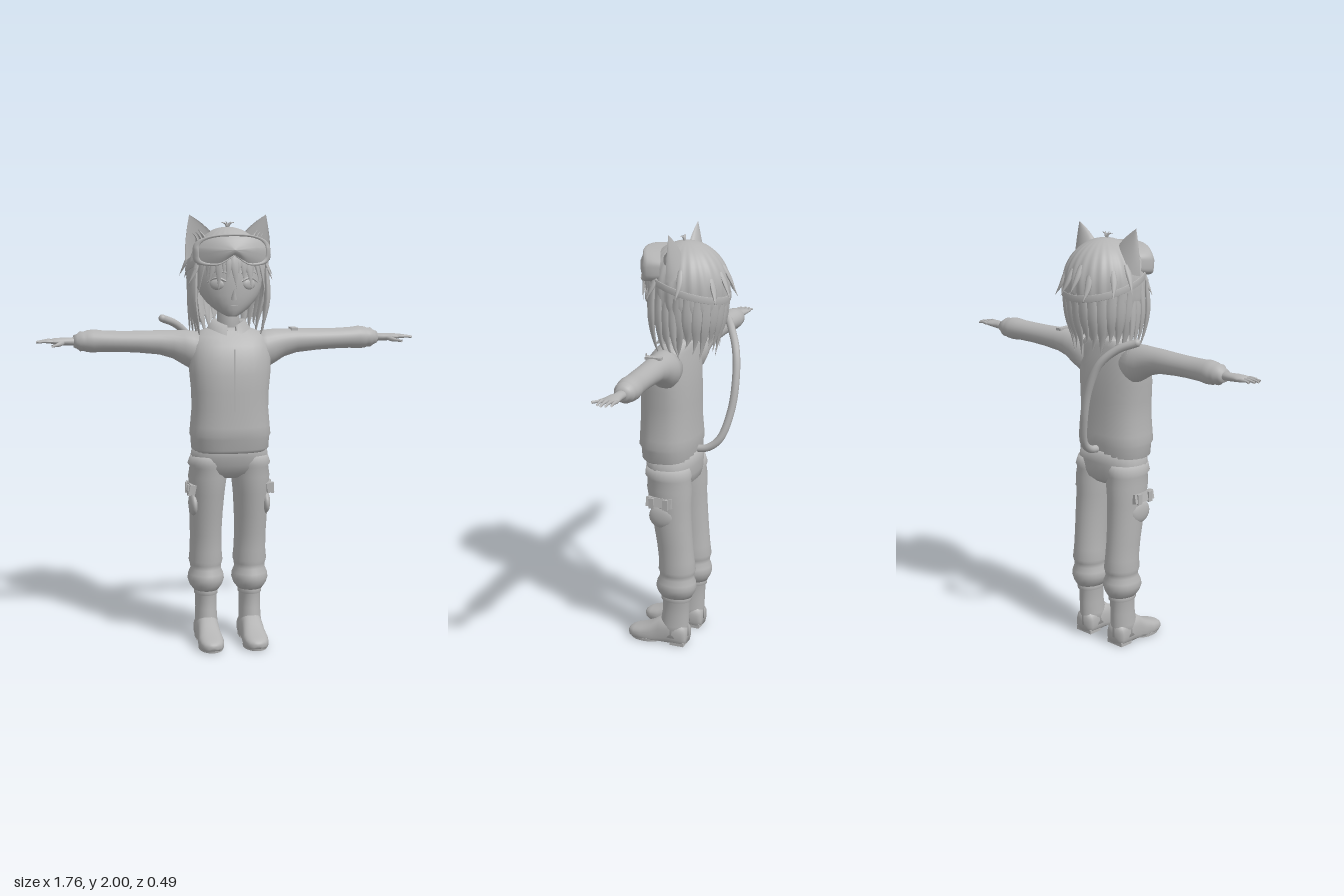
import * as THREE from 'three';

const { sin, cos, abs, sign, PI } = Math;
const grey = new THREE.MeshStandardMaterial({ color: 0xb4b4b4, side: THREE.DoubleSide });
grey.name = 'plain grey';

export function createModel() {
  const root = new THREE.Group();
  root.name = 'catEaredChild';
  const add = (name, geo) => {
    const m = new THREE.Mesh(geo, grey);
    m.name = name;
    root.add(m);
    return m;
  };

  // Surface through rows of points; optional closing in the other direction
  const grid = (rows, closed) => {
    const n = rows[0].length, pos = rows.flat(2), idx = [];
    for (let i = 0; i < rows.length - 1; i++)
      for (let j = 0; j < (closed ? n : n - 1); j++) {
        const k = (j + 1) % n, a = i * n + j, b = i * n + k;
        idx.push(a, b, b + n, a, b + n, a + n);
      }
    const g = new THREE.BufferGeometry();
    g.setAttribute('position', new THREE.Float32BufferAttribute(pos, 3));
    g.setIndex(idx);
    g.computeVertexNormals();
    return g;
  };

  // Closed body along an axis; each row is [t, centreA, centreB, radiusA, radiusB]
  const loft = (axis, rows, power = 2, floor = -1) => {
    const first = rows[0], last = rows[rows.length - 1], seg = 28;
    const all = [[...first.slice(0, 3), 0, 0], ...rows, [...last.slice(0, 3), 0, 0]];
    const rising = last[0] > first[0];
    const dir = (axis === 'y') === rising ? -1 : 1;
    return grid(all.map(([t, ca, cb, ra, rb]) => Array.from({ length: seg }, (_, j) => {
      const th = dir * j / seg * 2 * PI;
      const a = ca + ra * sign(cos(th)) * abs(cos(th)) ** (2 / power);
      const b = cb + rb * sign(sin(th)) * abs(sin(th)) ** (2 / power);
      return axis === 'y' ? [a, t, b] : axis === 'x' ? [t, a, b] : [a, Math.max(b, floor), t];
    })), true);
  };

  // Tapered, flattened lock following a curve
  const strand = (pts, r, flat = 0.4, tip = 0) => {
    const path = new THREE.CatmullRomCurve3(pts.map(p => new THREE.Vector3(...p)));
    const n = 10, sides = 8, g = new THREE.TubeGeometry(path, n, r, sides);
    const p = g.attributes.position, v = new THREE.Vector3();
    for (let i = 0; i <= n; i++) {
      const c = path.getPointAt(i / n), out = new THREE.Vector3(c.x, 0, c.z).normalize();
      const k = Math.max(tip, (1 - (i / n) ** 2) * (0.6 + 0.4 * sin(PI * i / n)));
      for (let j = 0; j <= sides; j++) {
        const q = i * (sides + 1) + j;
        v.fromBufferAttribute(p, q).sub(c).multiplyScalar(k);
        v.addScaledVector(out, (flat - 1) * v.dot(out)).add(c);
        p.setXYZ(q, v.x, v.y, v.z);
      }
    }
    g.computeVertexNormals();
    return g;
  };
  const box = (name, w, h, d, x, y, z) => {
    const m = add(name, new THREE.BoxGeometry(w, h, d));
    m.position.set(x, y, z);
    return m;
  };
  const ball = (name, r, x, y, z, sx, sy, sz) => {
    const m = add(name, new THREE.SphereGeometry(r, 16, 12));
    m.position.set(x, y, z);
    m.scale.set(sx, sy, sz);
    return m;
  };

  // Sweater with ribbed hem
  add('sweater', loft('y', [
    [0.92, 0, 0.07, 0.165, 0.115], [0.935, 0, 0.07, 0.18, 0.128], [0.985, 0, 0.072, 0.182, 0.13],
    [1.0, 0, 0.074, 0.188, 0.138], [1.04, 0, 0.074, 0.184, 0.136], [1.12, 0, 0.075, 0.177, 0.131],
    [1.2, 0, 0.075, 0.179, 0.13], [1.28, 0, 0.074, 0.187, 0.126], [1.35, 0, 0.07, 0.19, 0.117],
    [1.41, 0, 0.062, 0.185, 0.1], [1.45, 0, 0.05, 0.17, 0.08], [1.475, 0, 0.04, 0.13, 0.066],
    [1.49, 0, 0.04, 0.085, 0.055]], 2.4));
  box('frontSeam', 0.006, 0.4, 0.006, 0, 1.2, 0.203);

  // Neck and folded collar
  add('neck', loft('y', [[1.44, 0, 0.035, 0.055, 0.05], [1.6, 0, 0.035, 0.05, 0.05]]));
  const collar = [0, 1, 2].map(i => Array.from({ length: 31 }, (_, j) => {
    const th = PI / 2 + 0.25 + j / 30 * (2 * PI - 0.5), front = Math.max(0, sin(th));
    const r = [0.068, 0.075, 0.1][i];
    return [r * cos(th), [1.475, 1.525, 1.485][i] - front ** 3 * [0, 0.025, 0.03][i],
      0.04 + r * (0.85 + front * 0.25) * sin(th)];
  }));
  add('collar', grid(collar));

  // Hips
  add('trouserHips', loft('y', [
    [0.96, 0, 0.062, 0.17, 0.12], [0.9, 0, 0.058, 0.18, 0.118], [0.86, 0, 0.052, 0.182, 0.112],
    [0.82, 0, 0.048, 0.15, 0.1], [0.795, 0, 0.045, 0.08, 0.07]], 2.4));

  for (const s of [1, -1]) {
    const side = s > 0 ? 'left' : 'right';

    // Trouser leg with thigh folds and gathered ankle
    add(side + 'TrouserLeg', loft('y', [
      [0.9, 0.1, 0.055, 0.08, 0.105], [0.86, 0.102, 0.052, 0.092, 0.112], [0.845, 0.1, 0.05, 0.084, 0.105],
      [0.8, 0.101, 0.047, 0.09, 0.108], [0.72, 0.103, 0.042, 0.082, 0.1], [0.62, 0.106, 0.03, 0.078, 0.092],
      [0.52, 0.106, 0.018, 0.074, 0.087], [0.44, 0.105, 0.01, 0.075, 0.086], [0.39, 0.105, 0.008, 0.08, 0.09],
      [0.37, 0.105, 0.008, 0.074, 0.084], [0.35, 0.105, 0.01, 0.072, 0.083], [0.325, 0.105, 0.011, 0.083, 0.094],
      [0.3, 0.105, 0.012, 0.086, 0.098], [0.275, 0.105, 0.012, 0.078, 0.09], [0.25, 0.105, 0.012, 0.06, 0.076]]
      .map(([y, x, ...r]) => [y, s * x, ...r])));

    // Cargo pocket, flap and strap
    const pocket = ball(side + 'Pocket', 0.07, s * 0.17, 0.67, 0.06, 0.32, 0.8, 0.9);
    pocket.rotation.x = 0.08;
    box(side + 'PocketFlap', 0.03, 0.045, 0.125, s * 0.182, 0.745, 0.065).rotation.z = s * 0.2;
    for (const z of [0.03, 0.1]) box(side + 'PocketStrap', 0.014, 0.05, 0.025, s * 0.196, 0.742, z);

    // Boot shaft, cuff, foot and heel
    const bx = s * 0.105;
    add(side + 'BootShaft', loft('y', [[0.255, bx, 0.012, 0.05, 0.07], [0.25, bx, 0.012, 0.056, 0.074],
      [0.23, bx, 0.012, 0.056, 0.074], [0.226, bx, 0.012, 0.05, 0.066], [0.16, bx, 0.015, 0.05, 0.066],
      [0.1, bx, 0.022, 0.053, 0.07], [0.04, bx, 0.024, 0.056, 0.072]]));
    add(side + 'BootFoot', loft('z', [[-0.047, bx, 0.05, 0.042, 0.04], [-0.03, bx, 0.05, 0.054, 0.06],
      [0.04, bx, 0.06, 0.055, 0.075], [0.09, bx, 0.05, 0.053, 0.075], [0.13, bx, 0.036, 0.056, 0.06],
      [0.18, bx, 0.03, 0.06, 0.042], [0.22, bx, 0.028, 0.054, 0.032], [0.243, bx, 0.026, 0.04, 0.024],
      [0.254, bx, 0.026, 0.022, 0.014]], 2.5, 0.01));
    box(side + 'Heel', 0.094, 0.02, 0.07, bx, 0.01, -0.005);
    const sole = add(side + 'Sole', new THREE.CylinderGeometry(0.058, 0.056, 0.014, 24));
    sole.position.set(bx, 0.007, 0.165);
    sole.scale.z = 1.48;

    // Sleeve with gathered cuff
    add(side + 'Sleeve', loft('x', [
      [0.1, 1.38, 0.05, 0.085, 0.075], [0.17, 1.385, 0.045, 0.09, 0.078], [0.21, 1.398, 0.04, 0.08, 0.07],
      [0.26, 1.413, 0.036, 0.065, 0.06], [0.32, 1.422, 0.034, 0.056, 0.056], [0.42, 1.426, 0.028, 0.05, 0.054],
      [0.5, 1.428, 0.024, 0.048, 0.053], [0.58, 1.43, 0.016, 0.049, 0.052], [0.62, 1.431, 0.012, 0.053, 0.056],
      [0.65, 1.43, 0.011, 0.05, 0.053], [0.665, 1.43, 0.01, 0.044, 0.047], [0.68, 1.43, 0.01, 0.046, 0.048],
      [0.695, 1.43, 0.01, 0.034, 0.036], [0.71, 1.43, 0.01, 0.028, 0.032]].map(([x, ...r]) => [s * x, ...r])));

    // Hand, fingers and thumb
    add(side + 'Hand', loft('x', [[0.69, 1.43, 0.01, 0.02, 0.025], [0.74, 1.43, 0.012, 0.018, 0.023],
      [0.77, 1.431, 0.017, 0.017, 0.032], [0.8, 1.432, 0.017, 0.014, 0.037], [0.82, 1.432, 0.017, 0.008, 0.033]]
      .map(([x, ...r]) => [s * x, ...r])));
    [0.046, 0.026, 0.006, -0.014].forEach((z, i) => add(side + 'Finger', strand([
      [s * 0.8, 1.432, z], [s * 0.84, 1.434, z + 0.001], [s * [0.87, 0.88, 0.875, 0.86][i], 1.43, z]], 0.01, 1, 0.55)));
    add(side + 'Thumb', strand([[s * 0.755, 1.427, 0.03], [s * 0.785, 1.42, 0.07], [s * 0.81, 1.417, 0.1]], 0.013, 1, 0.5));

    // Face details
    const eye = ball(side + 'Eye', 0.033, s * 0.073, 1.69, 0.163, 1, 0.75, 0.35);
    eye.rotation.y = s * 0.45;
    add(side + 'Eyelid', strand([[s * 0.035, 1.705, 0.185], [s * 0.075, 1.72, 0.172], [s * 0.115, 1.7, 0.143]], 0.007, 1, 0.4));
    add(side + 'Eyebrow', strand([[s * 0.03, 1.742, 0.187], [s * 0.07, 1.75, 0.175], [s * 0.11, 1.738, 0.147]], 0.005, 1, 0.4));

    // Cat ear: hollow at the front, tip outwards
    const earRows = [];
    for (let i = 0; i <= 8; i++) {
      const t = i / 8, w = 0.085 * (1 - t ** 1.5), d = 0.05 * (1 - t);
      const cx = 0.125 + 0.053 * t ** 1.2, cy = 1.835 + 0.165 * t;
      earRows.push(Array.from({ length: 20 }, (_, j) => {
        const th = -j / 20 * 2 * PI * s, f = sin(th);
        return [s * (cx + w * s * cos(th) * 0.85), cy - s * cos(th) * w * 0.5,
          0.005 + 0.012 * t + (f > 0 ? -0.25 * f : f * 1.2) * d + 0.35 * d];
      }));
    }
    add(side + 'Ear', grid(earRows, true));
    for (const k of [0, 1, 2]) add(side + 'EarFluff', strand([[s * (0.09 + k * 0.025), 1.86 - k * 0.01, 0.04],
      [s * (0.115 + k * 0.018), 1.9, 0.042], [s * (0.14 + k * 0.012), 1.935 - k * 0.01, 0.025]], 0.014));
  }

  // Loop on the left sleeve
  box('sleeveTab', 0.03, 0.012, 0.075, 0.305, 1.477, 0.035);

  // Head, nose and mouth
  add('head', loft('y', [[1.545, 0, 0.135, 0.022, 0.025], [1.553, 0, 0.12, 0.04, 0.045], [1.575, 0, 0.1, 0.075, 0.075],
    [1.605, 0, 0.08, 0.108, 0.1], [1.64, 0, 0.062, 0.134, 0.123], [1.68, 0, 0.045, 0.15, 0.14],
    [1.74, 0, 0.03, 0.158, 0.157], [1.8, 0, 0.015, 0.155, 0.16], [1.86, 0, 0, 0.13, 0.14], [1.9, 0, 0, 0.08, 0.09]]));
  const nose = add('nose', new THREE.ConeGeometry(0.016, 0.05, 10));
  nose.position.set(0, 1.648, 0.186);
  nose.rotation.x = 0.45;
  ball('mouth', 0.02, 0, 1.596, 0.178, 0.9, 0.15, 0.2);

  // Hair surface, measured by angle (front at +90 degrees) and height
  const fall = [[1.74, 1], [1.68, 0.99], [1.6, 0.9], [1.5, 0.76], [1.4, 0.64]];
  const hairAt = (th, y, k = 1) => {
    let f = 0.64;
    if (y >= 1.74) f = Math.sqrt(Math.max(0, 1 - ((y - 1.74) / 0.205) ** 2));
    else for (let i = 0; i < 4; i++) {
      const [a, fa] = fall[i], [b, fb] = fall[i + 1];
      if (y <= a && y >= b) f = fa + (fb - fa) * (a - y) / (a - b);
    }
    return [0.186 * f * k * cos(th), y, 0.195 * f * k * sin(th)];
  };
  const hairRows = [];
  for (let i = 0; i <= 26; i++) hairRows.push(Array.from({ length: 144 }, (_, j) => {
    const th = -j / 144 * 2 * PI, s = sin(th), t = i / 26;
    const open = THREE.MathUtils.smoothstep(s, 0.4, 0.62);
    const hem = 1.5 + 0.28 * open + 0.035 * abs(sin(th * 8)) * (1 - open);
    const y = t < 0.5 ? 1.74 + 0.205 * cos(t * PI) : 1.74 + (hem - 1.74) * (t - 0.5) * 2;
    return hairAt(th, Math.max(y, hem), 1 + 0.014 * sin(th * 24) * Math.min(1, t * 2.5));
  }));
  add('hairCap', grid(hairRows, true));

  // Fringe
  for (let i = 0; i < 13; i++) {
    const u = (i - 6) / 6, len = 1.7 + 0.035 * ((i * 5) % 3 - 1) - 0.02 * u * u;
    add('fringeLock', strand([[u * 0.09, 1.88, 0.145 - 0.03 * u * u], [u * 0.13, 1.79, 0.195 - 0.07 * u * u],
      [u * 0.15 + 0.012 * sin(i * 2.3), len, 0.203 - 0.09 * u * u]], 0.025, 0.35));
  }
  // Long side locks
  for (const s of [1, -1]) for (let k = 0; k < 4; k++)
    add('sideLock', strand([[s * 0.165, 1.76, 0.1 - k * 0.035], [s * (0.17 + k * 0.002), 1.62, 0.105 - k * 0.035],
      [s * (0.15 + 0.008 * k), 1.5, 0.095 - k * 0.035], [s * (0.135 + 0.012 * k), 1.42 + 0.012 * (k % 2), 0.07 - k * 0.035]],
    0.026, 0.5));
  // Back locks
  for (let i = 0; i < 13; i++) {
    const th = PI + (i + 0.5) / 13 * PI;
    add('backLock', strand([hairAt(th, 1.72, 0.97), hairAt(th, 1.6), hairAt(th, 1.5, 1.02),
      hairAt(th + 0.08, 1.42 + 0.03 * (i % 3), 1.08)], 0.032, 0.45));
  }
  // Loose flicks round the back and sides
  [3.3, 3.7, 4.3, 4.6, 4.9, 5.3, 6.1, 0.5, 2.6].forEach((th, i) => add('hairFlick', strand([
    hairAt(th, 1.84 - 0.02 * (i % 3), 0.98), hairAt(th, 1.78 - 0.02 * (i % 3), 1.05),
    hairAt(th + 0.05, 1.72 - 0.015 * (i % 3), 1.2)], 0.018, 0.5)));
  // Crown sprigs
  for (const u of [-1, -0.3, 0.5, 1]) add('crownSprig', strand([[0, 1.935, 0.01],
    [u * 0.012, 1.96, 0.015], [u * 0.035, 1.975 - 0.01 * abs(u), 0.02]], 0.006, 0.8));

  // Goggle strap around the hair
  add('goggleStrap', grid([[-0.016, 1.01], [-0.014, 1.035], [0.014, 1.035], [0.016, 1.01]].map(([dy, k]) =>
    Array.from({ length: 72 }, (_, j) => {
      const th = j / 72 * 2 * PI, p = hairAt(th, 1.755 + 0.06 * sin(th), k);
      return [p[0], p[1] + dy, p[2]];
    })), true));

  // Goggles: outline rings wrapped round the forehead
  const gogglePoint = (th, k, dz) => {
    const c = cos(th), v = sin(th), x = 0.178 * k * sign(c) * abs(c) ** 0.6;
    const notch = v < 0 ? 0.045 * Math.exp(-((x / 0.04) ** 2)) * k : 0;
    const y = 0.07 * k * sign(v) * abs(v) ** 0.6 + notch - 0.5 * x * x;
    return [x, 1.845 + y, 0.205 - 2.3 * x * x - (y > 0 ? 0.35 * y : -0.1 * y) + dz];
  };
  const rings = (list) => grid(list.map(([k, dz]) => Array.from({ length: 64 }, (_, j) =>
    gogglePoint(j / 64 * 2 * PI, k, dz))), true);
  add('goggleFrame', rings([[0.93, -0.075], [0.98, -0.04], [1, -0.008], [0.98, 0.006], [0.9, 0.008], [0.86, -0.004]]));
  add('goggleLens', rings([[0.87, -0.004], [0.6, 0.004], [0.3, 0.007], [0, 0.008]]));

  // Tail curving up and to the right
  const tailPath = new THREE.CatmullRomCurve3([[0, 0.965, -0.04], [-0.005, 0.975, -0.1], [-0.02, 1.02, -0.155],
    [-0.06, 1.15, -0.195], [-0.1, 1.3, -0.203], [-0.15, 1.42, -0.183], [-0.22, 1.49, -0.138], [-0.29, 1.522, -0.095]]
    .map(p => new THREE.Vector3(...p)));
  add('tail', new THREE.TubeGeometry(tailPath, 48, 0.018, 12));
  ball('tailTip', 0.018, -0.29, 1.522, -0.095, 1, 1, 1);

  return root;
}
